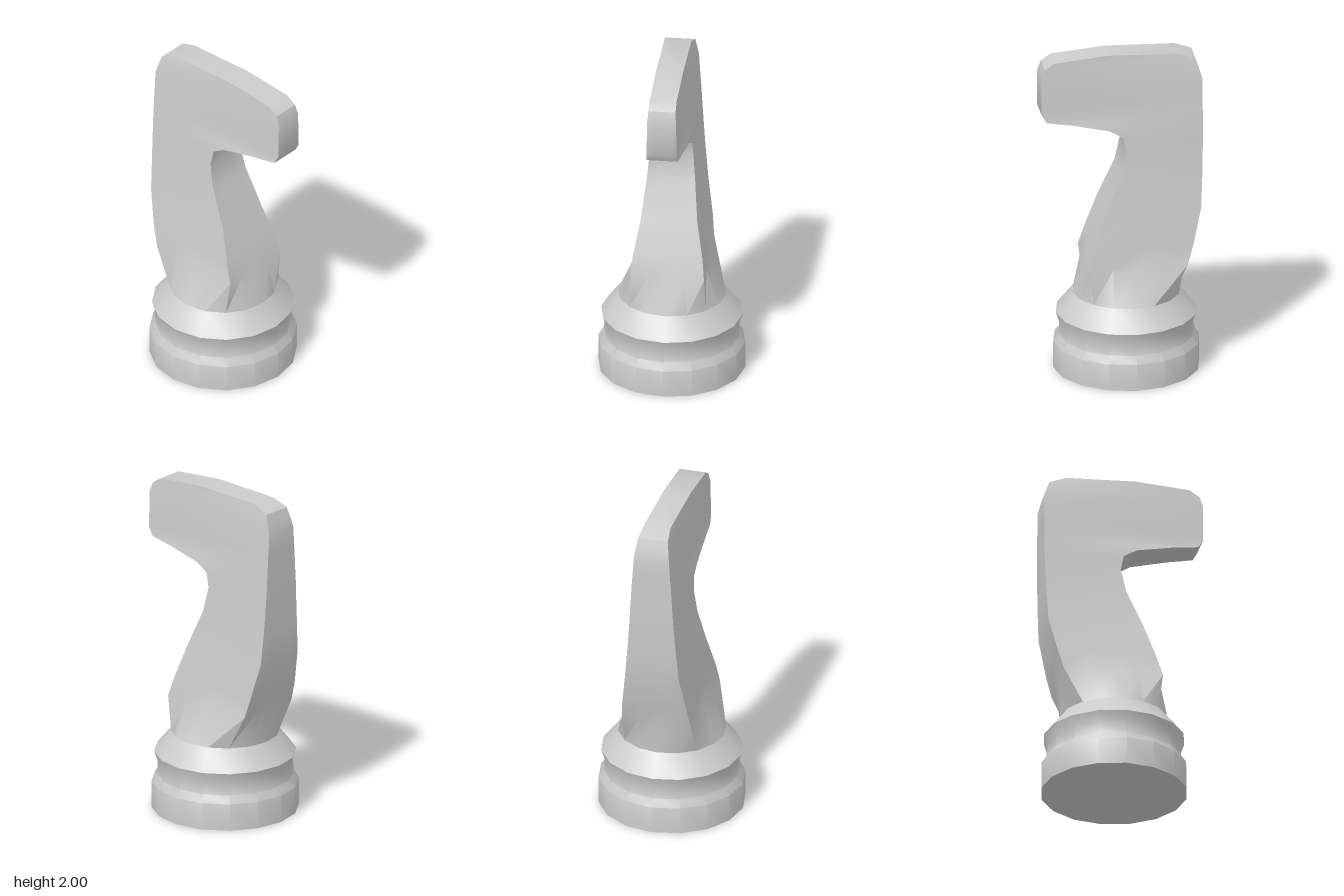
import * as THREE from 'three';
import { toCreasedNormals } from 'three/addons/utils/BufferGeometryUtils.js';

const CENTRE_Z = -0.038; // axis of the turned base
const RING = 0.32;       // radius where the neck meets the base
const RING_Y = 0.475;
const SIDES = 16;
const CREASE = 0.61;

// Each row: front [z, y, half width], back [z, y, half width]
const ROWS = [
  [[0.217, 0.69, 0.22], [-0.373, 0.69, 0.21]],
  [[0.18, 0.81, 0.207], [-0.408, 0.81, 0.198]],
  [[0.11, 1.02, 0.168], [-0.46, 1.03, 0.165]],
  [[0.01, 1.25, 0.143], [-0.469, 1.22, 0.148]],
  [[-0.02, 1.40, 0.13], [-0.474, 1.40, 0.135]],
  // throat and underside of the muzzle
  [[0.0, 1.49, 0.124], [-0.476, 1.47, 0.131]],
  [[0.08, 1.535, 0.12], [-0.476, 1.53, 0.127]],
  [[0.30, 1.578, 0.105], [-0.476, 1.60, 0.123]],
  [[0.45, 1.598, 0.093], [-0.476, 1.65, 0.12]],
  // nose
  [[0.48, 1.65, 0.09], [-0.476, 1.72, 0.115]],
  [[0.48, 1.87, 0.085], [-0.476, 1.83, 0.108]],
  [[0.46, 1.93, 0.08], [-0.46, 1.89, 0.1]],
  // top of the head
  [[0.40, 1.97, 0.08], [-0.44, 1.95, 0.09]],
  [[0.08, 2.0, 0.08], [-0.34, 1.99, 0.08]],
];

// Four corners of a row, each side split into four, giving 16 points
function rowPoints([[fz, fy, fw], [bz, by, bw]]) {
  const corners = [
    new THREE.Vector3(fw, fy, fz), new THREE.Vector3(bw, by, bz),
    new THREE.Vector3(-bw, by, bz), new THREE.Vector3(-fw, fy, fz),
  ];
  return Array.from({ length: SIDES }, (_, i) =>
    corners[i >> 2].clone().lerp(corners[((i >> 2) + 1) % 4], (i % 4) / 4));
}

// Round section at the foot of the neck, matched to the row points
function ringPoints() {
  return Array.from({ length: SIDES }, (_, i) => {
    const a = Math.PI / 4 + (i * Math.PI * 2) / SIDES;
    return new THREE.Vector3(RING * Math.sin(a), RING_Y, CENTRE_Z + RING * Math.cos(a));
  });
}

function loft(sections) {
  const index = [];
  for (let r = 0; r < sections.length - 1; r++) {
    for (let i = 0; i < SIDES; i++) {
      const j = (i + 1) % SIDES;
      const a = r * SIDES + i, b = r * SIDES + j;
      index.push(a, b, b + SIDES, a, b + SIDES, a + SIDES);
    }
  }
  // close the crown across its left and right edges
  const top = (sections.length - 1) * SIDES;
  for (let i = 1; i < SIDES - 1; i++) index.push(top, top + i, top + i + 1);
  const geometry = new THREE.BufferGeometry().setFromPoints(sections.flat());
  geometry.setIndex(index);
  return toCreasedNormals(geometry, CREASE);
}

export function createModel() {
  const group = new THREE.Group();
  group.name = 'chessKnight';
  const material = new THREE.MeshStandardMaterial({ color: 0xcccccc });

  // Turned base with plinth, groove and collar
  const profile = [
    [0, 0], [0.435, 0], [0.435, 0.165], [0.403, 0.21],
    [0.4, 0.29], [0.42, 0.35], [RING, RING_Y], [0, RING_Y],
  ].map(([x, y]) => new THREE.Vector2(x, y));
  const base = new THREE.Mesh(
    toCreasedNormals(new THREE.LatheGeometry(profile, SIDES), CREASE), material);
  base.name = 'base';
  base.position.z = CENTRE_Z;
  group.add(base);

  // Neck rising from the round collar into the flat-sided head
  const head = new THREE.Mesh(loft([ringPoints(), ...ROWS.map(rowPoints)]), material);
  head.name = 'neckAndHead';
  group.add(head);

  return group;
}
